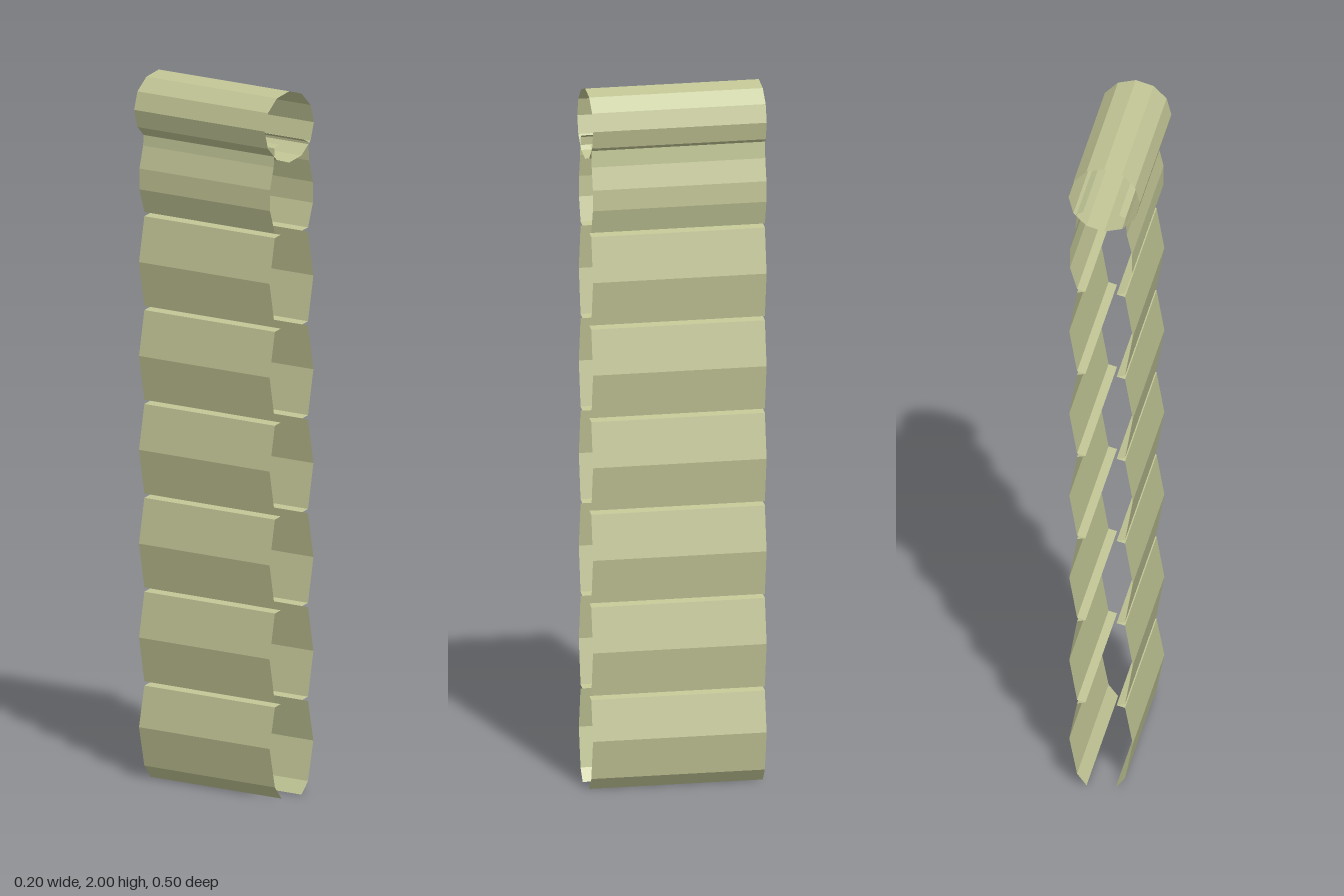
import * as THREE from 'three';

const HALF = 0.248; // half the width along z
const material = new THREE.MeshStandardMaterial({
  color: 0xc0c494, flatShading: true, side: THREE.DoubleSide,
});

// Sweeps an open [x, y] profile along z into a thin flat-shaded sheet
function sheet(name, profile) {
  const positions = [];
  for (let i = 0; i < profile.length - 1; i++) {
    const [ax, ay] = profile[i];
    const [bx, by] = profile[i + 1];
    positions.push(
      ax, ay, HALF, bx, by, HALF, bx, by, -HALF,
      ax, ay, HALF, bx, by, -HALF, ax, ay, -HALF,
    );
  }
  const geometry = new THREE.BufferGeometry();
  geometry.setAttribute('position', new THREE.Float32BufferAttribute(positions, 3));
  geometry.computeVertexNormals();
  const mesh = new THREE.Mesh(geometry, material);
  mesh.name = name;
  return mesh;
}

// Hanging strip: a short top fold, then bulging folds parted by narrow grooves
function stripProfile() {
  const points = [
    [0.06, 1.855], [0.078, 1.846], [0.082, 1.793],
    [0.097, 1.73], [0.097, 1.671], [0.077, 1.604],
  ];
  const pitch = 0.266;
  for (let i = 0; i < 6; i++) {
    const y = 1.598 - i * pitch;
    points.push([0.053, y], [0.077, y - 0.006]);
    if (i < 5) points.push([0.099, y - pitch / 2], [0.077, y - pitch + 0.006]);
  }
  // loose bottom fold, curling inward
  points.push([0.099, 0.147], [0.077, 0.035], [0.05, 0]);
  return points;
}

export function createModel() {
  const model = new THREE.Group();
  model.name = 'foldedHanging';

  // Open twelve-sided tube at the top
  const tube = new THREE.Mesh(
    new THREE.CylinderGeometry(0.101, 0.101, HALF * 2, 12, 1, true).rotateX(Math.PI / 2),
    material,
  );
  tube.name = 'topTube';
  tube.position.y = 1.899;
  model.add(tube);

  // Two strips; the right one hangs slightly further in
  const profile = stripProfile();
  model.add(sheet('leftStrip', profile));
  model.add(sheet('rightStrip', profile.map(([x, y]) => [0.018 - x, y]).reverse()));

  return model;
}
